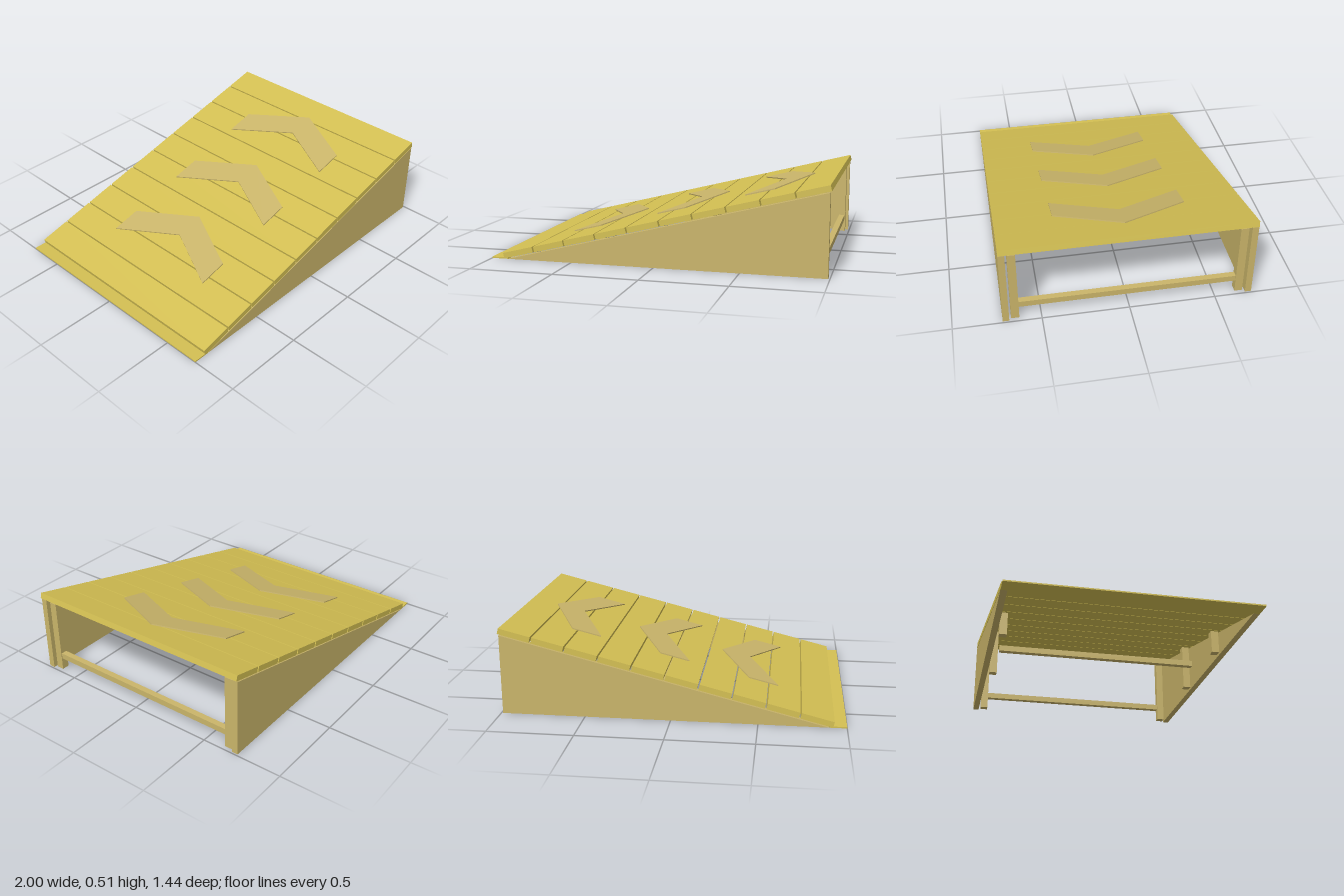
import * as THREE from 'three';

const DECK = new THREE.MeshStandardMaterial({ color: 0xd4c053 });
DECK.name = 'yellow deck wood';
const FRAME = new THREE.MeshStandardMaterial({ color: 0xcab56a });
FRAME.name = 'pale frame wood';

// Deck top line, from its low end to its high end
const X0 = -0.93, Y0 = 0.034, X1 = 0.99, Y1 = 0.515;
const SLOPE = (Y1 - Y0) / (X1 - X0);
const ANGLE = Math.atan(SLOPE);
const LENGTH = Math.hypot(X1 - X0, Y1 - Y0);
const HALF = 0.72, THICK = 0.034;
const PANEL_TOP = 0.473;
const panelHeight = (x) => PANEL_TOP - (X1 - x) * SLOPE;

function add(parent, name, geometry, material, x = 0, y = 0, z = 0) {
  const mesh = new THREE.Mesh(geometry, material);
  mesh.name = name;
  mesh.position.set(x, y, z);
  parent.add(mesh);
  return mesh;
}

function polygon(points) {
  return new THREE.Shape(points.map(([x, y]) => new THREE.Vector2(x, y)));
}

export function createModel() {
  const model = new THREE.Group();
  model.name = 'ramp';

  // Sloping deck: local x runs up the slope, local y = 0 is the walking surface
  const deck = new THREE.Group();
  deck.name = 'deck';
  deck.position.set(X0, Y0, 0);
  deck.rotation.z = ANGLE;
  model.add(deck);

  // Ten planks with narrow gaps
  const count = 10, gap = 0.009;
  const width = (LENGTH - gap * (count - 1)) / count;
  const plank = new THREE.BoxGeometry(width, THICK, HALF * 2);
  for (let i = 0; i < count; i++) {
    add(deck, 'plank', plank, DECK, width / 2 + i * (width + gap), -THICK / 2, 0);
  }

  // Three chevrons pointing up the slope
  const arm = 0.385, sweep = 0.195, band = 0.18;
  const chevron = new THREE.ExtrudeGeometry(polygon([
    [0, 0], [-sweep, arm], [-sweep - band, arm], [-band, 0],
    [-sweep - band, -arm], [-sweep, -arm],
  ]), { depth: 0.007, bevelEnabled: false });
  chevron.rotateX(-Math.PI / 2);
  for (const tip of [-0.24, 0.295, 0.83]) {
    add(deck, 'chevron', chevron, FRAME, (tip - X0) / Math.cos(ANGLE), 0, 0);
  }

  // Thin entry plate at the low end
  add(model, 'entryPlate', new THREE.BoxGeometry(0.1, 0.008, HALF * 2), DECK, -0.95, 0.004, 0);

  // Wedge-shaped side panels
  const panelDepth = 0.037;
  const panel = new THREE.ExtrudeGeometry(polygon([
    [X1 - PANEL_TOP / SLOPE, 0], [X1, 0], [X1, PANEL_TOP],
  ]), { depth: panelDepth, bevelEnabled: false });
  add(model, 'leftPanel', panel, FRAME, 0, 0, HALF - panelDepth);
  add(model, 'rightPanel', panel, FRAME, 0, 0, -HALF);

  // Upright posts inside the panels
  const post = 0.046;
  for (const side of [-1, 1]) {
    for (const x of [0.95, 0.28, -0.32]) {
      const h = panelHeight(x - post / 2);
      add(model, 'post', new THREE.BoxGeometry(post, h, post), FRAME, x, h / 2, side * 0.648);
    }
  }

  // Cross bars between the sides
  for (const x of [0.95, 0.09]) {
    add(model, 'crossBar', new THREE.BoxGeometry(0.036, 0.036, 1.26), FRAME, x, 0.093, 0);
  }

  return model;
}
